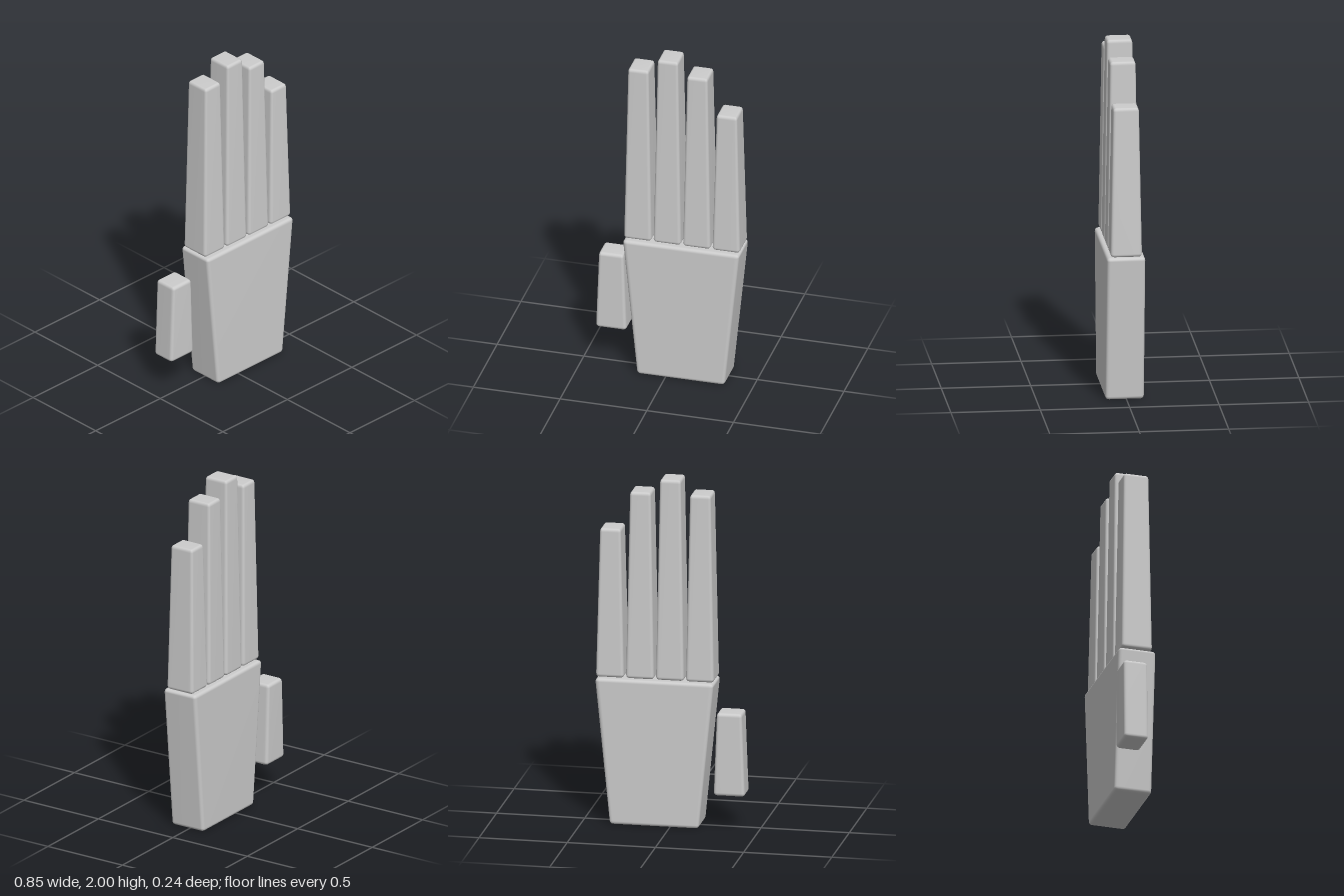
import * as THREE from 'three';
import { RoundedBoxGeometry } from 'three/addons/geometries/RoundedBoxGeometry.js';
import { mergeVertices } from 'three/addons/utils/BufferGeometryUtils.js';

const grey = new THREE.MeshStandardMaterial({ color: 0xcccccc });
grey.name = 'light grey';

// Bevelled block from y0 to y1 whose width and depth change linearly: size = [bottom, top]
function taperedBlock(name, x, z, y0, y1, width, depth, bevel = 0.02) {
  const h = y1 - y0;
  let geo = new RoundedBoxGeometry(width[0], h, depth[0], 2, bevel);
  const p = geo.attributes.position;
  for (let i = 0; i < p.count; i++) {
    const t = p.getY(i) / h + 0.5;
    p.setX(i, p.getX(i) * THREE.MathUtils.lerp(1, width[1] / width[0], t));
    p.setZ(i, p.getZ(i) * THREE.MathUtils.lerp(1, depth[1] / depth[0], t));
  }
  // weld so the bevels shade smoothly into the faces
  geo.deleteAttribute('normal');
  geo.deleteAttribute('uv');
  geo.clearGroups();
  geo = mergeVertices(geo);
  geo.computeVertexNormals();
  const mesh = new THREE.Mesh(geo, grey);
  mesh.name = name;
  mesh.position.set(x, (y0 + y1) / 2, z);
  return mesh;
}

export function createModel() {
  const hand = new THREE.Group();
  hand.name = 'hand';

  // Palm widens towards the fingers
  hand.add(taperedBlock('palm', 0.089, 0.01, 0, 0.84, [0.505, 0.673], [0.216, 0.216]));

  // Four fingers in a row
  const fingers = [['indexFinger', 1.92], ['middleFinger', 2], ['ringFinger', 1.92], ['littleFinger', 1.7]];
  fingers.forEach(([name, top], i) => {
    hand.add(taperedBlock(name, -0.166 + i * 0.17, 0.009, 0.843, top, [0.16, 0.118], [0.176, 0.144]));
  });

  // Thumb stands apart, slightly behind the palm
  hand.add(taperedBlock('thumb', -0.341, -0.053, 0.205, 0.683, [0.178, 0.142], [0.138, 0.138]));

  return hand;
}
